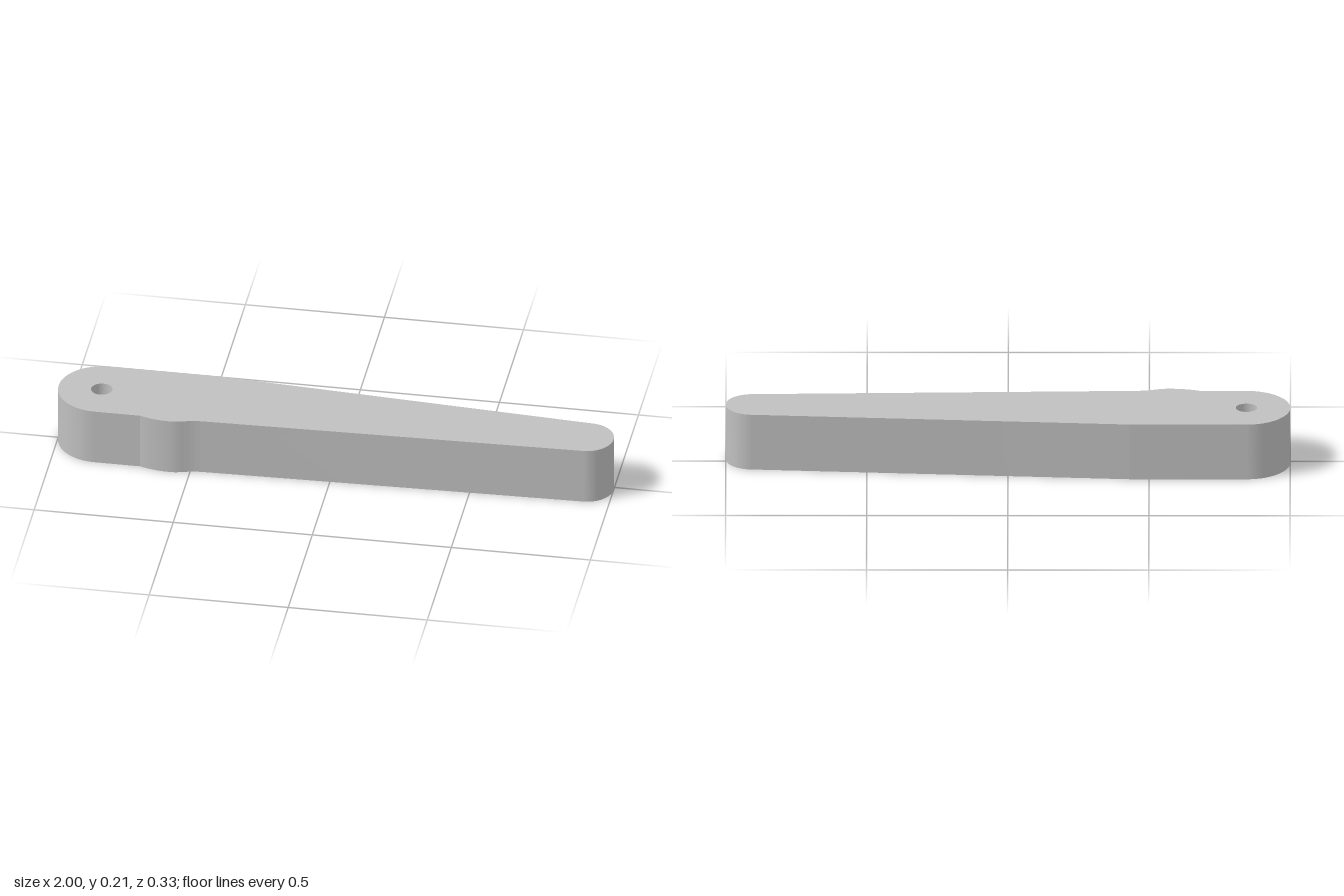
import * as THREE from 'three';
import { toCreasedNormals } from 'three/addons/utils/BufferGeometryUtils.js';

const HEIGHT = 0.21;

export function createModel() {
  const group = new THREE.Group();
  group.name = 'leverArm';
  const grey = new THREE.MeshStandardMaterial({ color: 0xc0c0c0 });
  grey.name = 'grey';

  // Plan outline, drawn with shape y = -z
  const pivot = new THREE.Vector2(-0.845, 0.01);
  const outline = new THREE.Shape();
  outline.moveTo(-0.43, 0.165);
  outline.lineTo(pivot.x, 0.165);
  // Wide rounded pivot end
  outline.absarc(pivot.x, pivot.y, 0.155, Math.PI / 2, Math.PI * 1.5, false);
  // Shallow bump on the front edge
  outline.lineTo(-0.68, -0.145);
  outline.bezierCurveTo(-0.645, -0.159, -0.605, -0.165, -0.57, -0.165);
  outline.bezierCurveTo(-0.53, -0.165, -0.515, -0.147, -0.455, -0.145);
  // Taper to the narrow rounded tip
  outline.lineTo(0.905, -0.113);
  outline.absarc(0.905, -0.018, 0.095, -Math.PI / 2, Math.PI / 2, false);
  outline.closePath();

  // Pivot hole
  const hole = new THREE.Path();
  hole.absarc(pivot.x, pivot.y, 0.038, 0, Math.PI * 2, true);
  outline.holes.push(hole);

  // Stand the extrusion up along y, with smooth curved walls and sharp rims
  const body = new THREE.ExtrudeGeometry(outline, {
    depth: HEIGHT, bevelEnabled: false, curveSegments: 72,
  });
  body.rotateX(-Math.PI / 2);
  const arm = new THREE.Mesh(toCreasedNormals(body, 0.055), grey);
  arm.name = 'arm';
  group.add(arm);
  return group;
}
